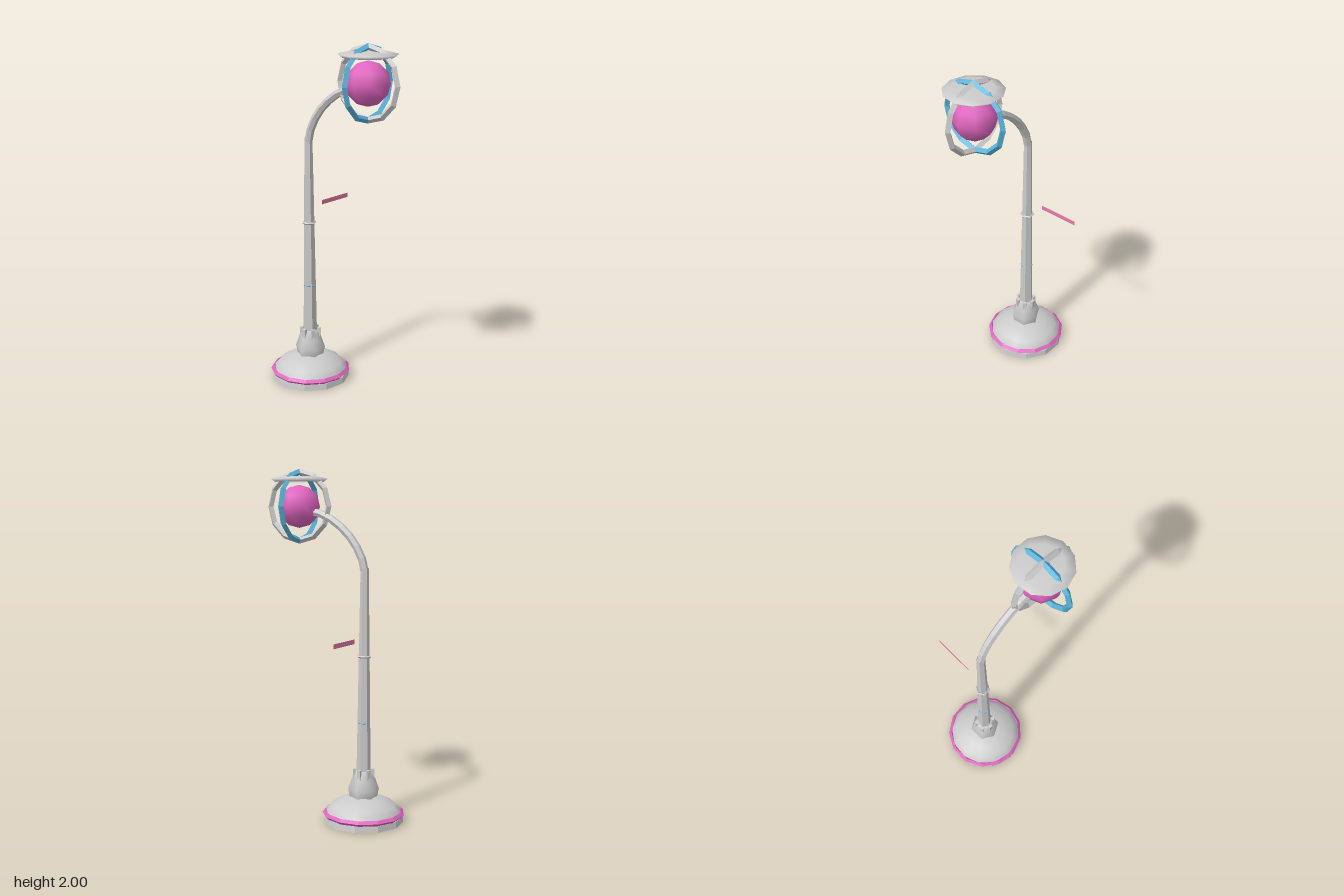
import * as THREE from 'three';

const PX = -0.2, PZ = 0.055;              // pole axis
const HEAD = new THREE.Vector3(0.225, 1.79, PZ); // centre of the lamp head

const material = (color, flat = false) =>
  new THREE.MeshStandardMaterial({ color, flatShading: flat, side: THREE.DoubleSide });

export function createModel() {
  const model = new THREE.Group();
  const grey = material(0xcccccc), greyFlat = material(0xcccccc, true);
  const pink = material(0xe066c0), pinkFlat = material(0xe066c0, true);
  const blue = material(0x5ab4dc, true), rose = material(0xe87aaa);

  function add(name, geometry, mat, x = 0, y = 0, z = 0) {
    const mesh = new THREE.Mesh(geometry, mat);
    mesh.name = name;
    mesh.position.set(x, y, z);
    model.add(mesh);
    return mesh;
  }
  const lathe = (points, sides) =>
    new THREE.LatheGeometry(points.map(([r, y]) => new THREE.Vector2(r, y)), sides);
  // Horizontal ring around the pole
  function collar(name, radius, tube, sides, mat, y) {
    add(name, new THREE.TorusGeometry(radius, tube, 4, sides).rotateX(Math.PI / 2), mat, PX, y, PZ);
  }

  // Base: foot slab, pink trim, domed cover
  add('baseFoot', new THREE.CylinderGeometry(0.225, 0.23, 0.035, 11), greyFlat, PX, 0.0175, PZ);
  collar('baseTrim', 0.22, 0.016, 13, pinkFlat, 0.05);
  add('baseDome', lathe([[0.222, 0.04], [0.215, 0.065], [0.185, 0.1], [0.13, 0.128], [0.07, 0.147], [0, 0.15]], 13),
    grey, PX, 0, PZ);

  // Socket with upright ribs
  add('socket', lathe([[0.078, 0.14], [0.088, 0.19], [0.06, 0.27], [0.045, 0.295], [0, 0.295]], 6), grey, PX, 0, PZ);
  for (let i = 0; i < 6; i++) {
    const a = (i / 6) * Math.PI * 2;
    const rib = add('socketRib', new THREE.BoxGeometry(0.022, 0.13, 0.018), greyFlat,
      PX + Math.sin(a) * 0.052, 0.243, PZ + Math.cos(a) * 0.052);
    rib.rotation.y = a;
  }

  // Tapered pole and its two collars
  add('pole', new THREE.CylinderGeometry(0.023, 0.041, 1.2, 6, 1, true), greyFlat, PX, 0.85, PZ);
  collar('poleCollar', 0.036, 0.007, 6, greyFlat, 0.955);
  collar('poleBand', 0.035, 0.004, 6, blue, 0.575);

  // Curved arm reaching into the head
  const arm = new THREE.CatmullRomCurve3([
    [-0.2, 1.43], [-0.187, 1.49], [-0.125, 1.6], [-0.03, 1.69], [0.06, 1.74], [0.15, 1.765],
  ].map(([x, y]) => new THREE.Vector3(x, y, PZ)));
  add('arm', new THREE.TubeGeometry(arm, 7, 0.023, 6), greyFlat);

  // Bulb inside two crossed cage rings
  add('bulb', new THREE.SphereGeometry(0.122, 8, 6), pink, HEAD.x, HEAD.y, HEAD.z);
  const ring = () => new THREE.TorusGeometry(0.194, 0.018, 4, 12).rotateZ(Math.PI / 2);
  add('cageRingAcross', ring(), greyFlat, HEAD.x, HEAD.y, HEAD.z);
  add('cageRingAlong', ring().rotateY(Math.PI / 2), blue, HEAD.x, HEAD.y, HEAD.z);

  // Shallow shade on top of the cage
  add('shade', lathe([[0.14, 1.928], [0.163, 1.945], [0.11, 1.958], [0, 1.962]], 11), grey, HEAD.x, 0, HEAD.z);

  // Thin detached strip behind the pole
  add('strip', new THREE.PlaneGeometry(0.235, 0.026).rotateY(Math.PI / 2), rose, PX, 1.052, -0.175);

  return model;
}
